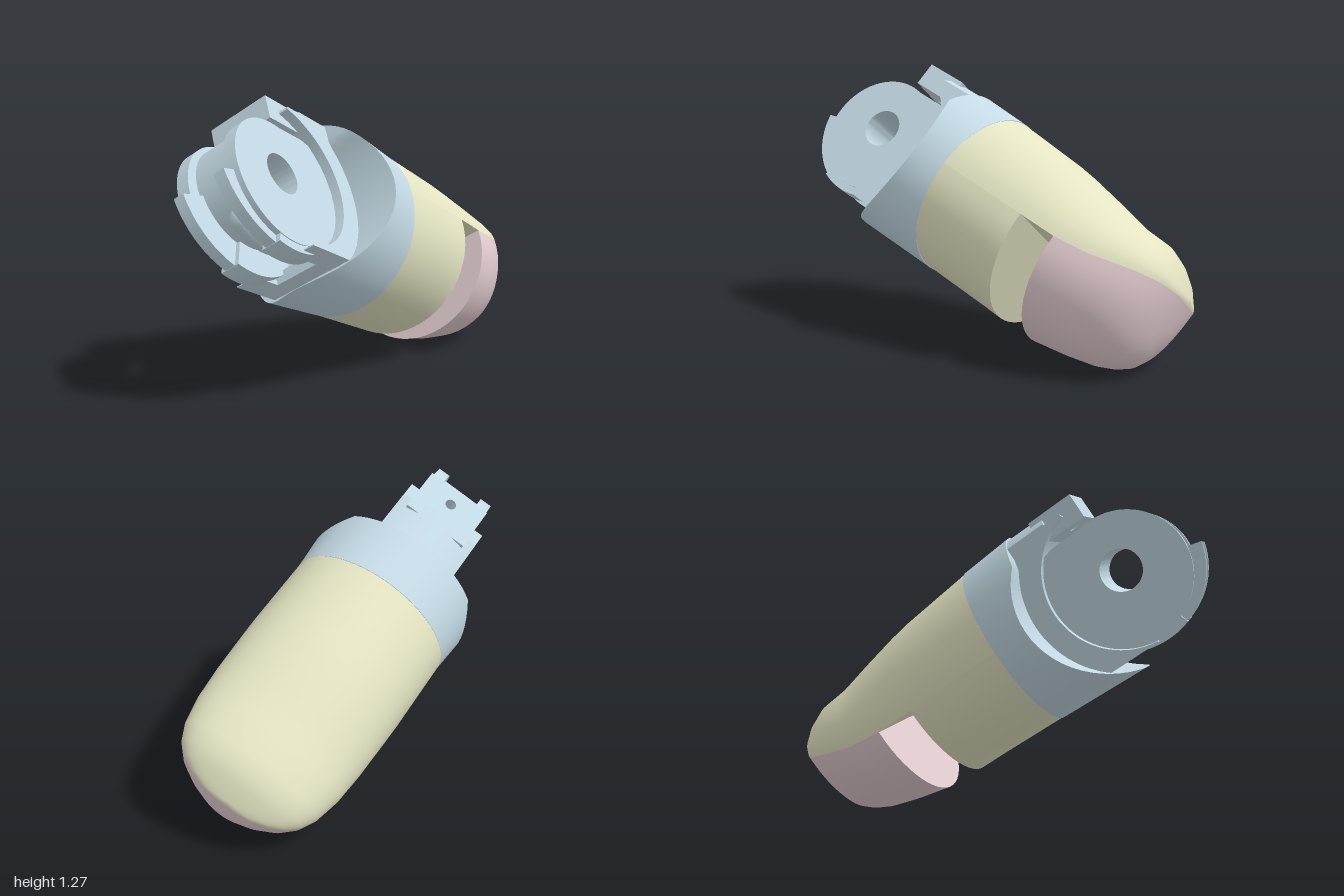
import * as THREE from 'three';
import { toCreasedNormals } from 'three/addons/utils/BufferGeometryUtils.js';

const mat = (name, color) => new THREE.MeshStandardMaterial({ name, color });

// Closed loft through equal-length rings, each counter-clockwise seen from +z.
function loft(rings) {
  const n = rings[0].length, pos = rings.flat(2), idx = [];
  for (let i = 0; i < rings.length - 1; i++) {
    for (let j = 0; j < n; j++) {
      const a = i * n + j, b = i * n + (j + 1) % n;
      idx.push(a, a + n, b, b, a + n, b + n);
    }
  }
  const cap = (ring, base, flip) => {
    const c = pos.length / 3;
    for (let k = 0; k < 3; k++) pos.push(ring.reduce((s, p) => s + p[k], 0) / n);
    for (let j = 0; j < n; j++) {
      const a = base + j, b = base + (j + 1) % n;
      idx.push(c, flip ? b : a, flip ? a : b);
    }
  };
  cap(rings[0], 0, false);
  cap(rings.at(-1), (rings.length - 1) * n, true);
  const g = new THREE.BufferGeometry();
  g.setAttribute('position', new THREE.Float32BufferAttribute(pos, 3));
  g.setIndex(idx);
  return toCreasedNormals(g, 0.65);
}

// Fingertip stations: z, half width, parting height, height above, height below
const STATIONS = [
  [0, 0.4, 0, 0.397, 0.397], [-0.36, 0.4, 0, 0.365, 0.39], [-0.46, 0.397, 0, 0.35, 0.39],
  [-0.64, 0.39, 0, 0.315, 0.383], [-0.8, 0.375, 0.02, 0.26, 0.37], [-0.93, 0.345, 0.055, 0.215, 0.37],
  [-1.0, 0.31, 0.075, 0.165, 0.358], [-1.05, 0.262, 0.09, 0.112, 0.338], [-1.085, 0.2, 0.1, 0.06, 0.3],
  [-1.11, 0.13, 0.105, 0.03, 0.235], [-1.12, 0.06, 0.105, 0.015, 0.13],
];
const TIP = STATIONS.length - 1;

// Upper or lower half of the fingertip between two stations
function halfShell(from, to, upper) {
  const N = 28;
  return loft(STATIONS.slice(from, to + 1).map(([z, w, cy, hu, hl]) =>
    Array.from({ length: N + 1 }, (_, j) => {
      const a = Math.PI * j / N + (upper ? 0 : Math.PI);
      return [w * Math.cos(a), cy + (upper ? hu : hl) * Math.sin(a), z];
    })));
}

const JOINT = 0.603;      // joint axis distance in front of the cuff seam
const SCOOP = 0.44;       // clearance radius around the joint

// Cuff: round sleeve, front end hollowed by a cylinder across it and trimmed at the top
function cuffGeometry() {
  const N = 64;
  const ring = (r, front) => Array.from({ length: N }, (_, j) => {
    const a = 2 * Math.PI * j / N, y = r * Math.sin(a);
    const scoop = JOINT - Math.sqrt(SCOOP ** 2 - y * y);
    return [r * Math.cos(a), y, front ? (y > 0 ? Math.min(scoop, 0.25) : scoop) : 0];
  });
  const rings = [0.02, 0.1, 0.18, 0.26, 0.32, 0.37, 0.414].map(r => ring(r, true));
  return loft([...rings, ring(0.4, false)]);
}

// Side profile (x = forward, y = up) extruded across the finger
function across(shape, width) {
  const g = new THREE.ExtrudeGeometry(shape, { depth: width, bevelEnabled: false, curveSegments: 32 });
  g.translate(0, 0, -width / 2).rotateY(-Math.PI / 2);
  return toCreasedNormals(g, 0.5);
}

// Plate with a round bite for the joint; bottomEnd is how far its lower arm reaches
function ledgeGeometry(bottomEnd, width) {
  const R = 0.34, s = new THREE.Shape();
  const a = -Math.acos((bottomEnd - JOINT) / R);
  s.moveTo(0.1, -0.343);
  s.lineTo(bottomEnd, -0.343);
  s.absarc(JOINT, 0, R, a, -4.48, true);
  s.lineTo(0.52, 0.345);
  s.lineTo(0.1, 0.345);
  s.closePath();
  return across(s, width);
}

// Sector of a ring around the joint axis
function sectorGeometry(inner, outer, from, to, width) {
  const s = new THREE.Shape();
  s.absarc(0, 0, outer, from, to, false);
  s.absarc(0, 0, inner, to, from, true);
  s.closePath();
  return across(s, width);
}

// Curved roof over the ledges, following the sleeve
function roofGeometry(halfWidth, inner, length) {
  const R = 0.405, a = Math.asin(halfWidth / R), s = new THREE.Shape();
  s.moveTo(-halfWidth, inner);
  s.lineTo(halfWidth, inner);
  s.absarc(0, 0, R, Math.PI / 2 - a, Math.PI / 2 + a, false);
  s.closePath();
  return toCreasedNormals(new THREE.ExtrudeGeometry(s, { depth: length, bevelEnabled: false, curveSegments: 16 }), 0.5);
}

// Flat block with a small pin hole through it, top face at y = 0
function stopGeometry(width, length, height, holeZ) {
  const w = width / 2, s = new THREE.Shape();
  s.moveTo(-w, 0);
  s.lineTo(w, 0);
  s.lineTo(w, length);
  s.lineTo(-w, length);
  s.closePath();
  s.holes.push(new THREE.Path().absarc(0, holeZ, 0.025, 0, Math.PI * 2, true));
  const g = new THREE.ExtrudeGeometry(s, { depth: height, bevelEnabled: false, curveSegments: 16 });
  return toCreasedNormals(g.rotateX(Math.PI / 2), 0.5);
}

function boreHole(shape) {
  shape.holes.push(new THREE.Path().absarc(0, 0, 0.093, 0, Math.PI * 2, true));
  return shape;
}

export function createModel() {
  const blue = mat('pale blue', 0xc3d9e4);
  const cream = mat('cream', 0xe4e4c3);
  const pink = mat('pale pink', 0xe5ced2);

  const finger = new THREE.Group();
  finger.name = 'finger';
  const add = (name, geo, material, x = 0, y = 0, z = 0) => {
    const m = new THREE.Mesh(geo, material);
    m.name = name;
    m.position.set(x, y, z);
    finger.add(m);
  };

  // Fingertip shell with a step cut out below, and the soft pad
  add('upperShell', halfShell(0, TIP, true), cream);
  add('lowerShell', halfShell(0, 2, false), cream);
  add('fingerPad', halfShell(3, TIP, false), pink);

  // Sleeve, and the back wall of the joint between its ledges
  add('cuff', cuffGeometry(), blue);
  add('jointBackWall', ledgeGeometry(0.43, 0.2), blue);

  // Roof and the upper stop block with its pin hole
  add('ledgeRoof', roofGeometry(0.2, 0.3, 0.31), blue, 0, 0, 0.13);
  add('upperStop', stopGeometry(0.31, 0.22, 0.115, 0.14), blue, 0, 0.396, 0.38);

  // Cheek outline: round in front, wider where it joins the ledge
  const cheek = new THREE.Shape();
  cheek.absarc(0, -0.035, 0.287, -1.9, 1.75, false);
  cheek.lineTo(-0.2, 0.247);
  cheek.absarc(0, 0, 0.345, 2.4, 4.2, false);
  cheek.closePath();
  const cheekGeo = across(boreHole(cheek), 0.06);

  // Raised rim round the lower front of each cheek, thicker underneath
  const rimGeo = sectorGeometry(0.2, 0.356, -2.2, -0.25, 0.05);
  const footGeo = sectorGeometry(0.24, 0.358, -2.3, -1.25, 0.09);
  const ledgeGeo = ledgeGeometry(0.57, 0.1);
  for (const [label, side] of [['left', 1], ['right', -1]]) {
    add(label + 'Cheek', cheekGeo, blue, side * 0.125, 0, JOINT);
    add(label + 'CheekRim', rimGeo, blue, side * 0.105, 0, JOINT);
    add(label + 'CheekFoot', footGeo, blue, side * 0.106, 0, JOINT);
    add(label + 'Ledge', ledgeGeo, blue, side * 0.15, 0, 0);
  }

  // Bored drum between the cheeks
  const drum = boreHole(new THREE.Shape().absarc(0, 0, 0.235, 0, Math.PI * 2, false));
  add('drum', across(drum, 0.2), blue, 0, 0, JOINT);

  // Rounded cable guide on the underside of the drum
  const guide = new THREE.TorusGeometry(0.26, 0.055, 14, 20, 1.2);
  guide.rotateZ(-2.1).rotateY(-Math.PI / 2);
  add('cableGuide', guide, blue, 0.04, 0, JOINT);
  add('cableGuideEnd', new THREE.SphereGeometry(0.055, 16, 12), blue,
    0.04, 0.26 * Math.sin(-0.9), JOINT + 0.26 * Math.cos(-0.9));

  // Finger leans forward and rolls about its own length
  finger.rotation.set(-0.395, 0, 0.571);
  finger.position.set(0, 0.645, 0.078);

  const model = new THREE.Group();
  model.name = 'fingertipSegment';
  model.add(finger);
  return model;
}
